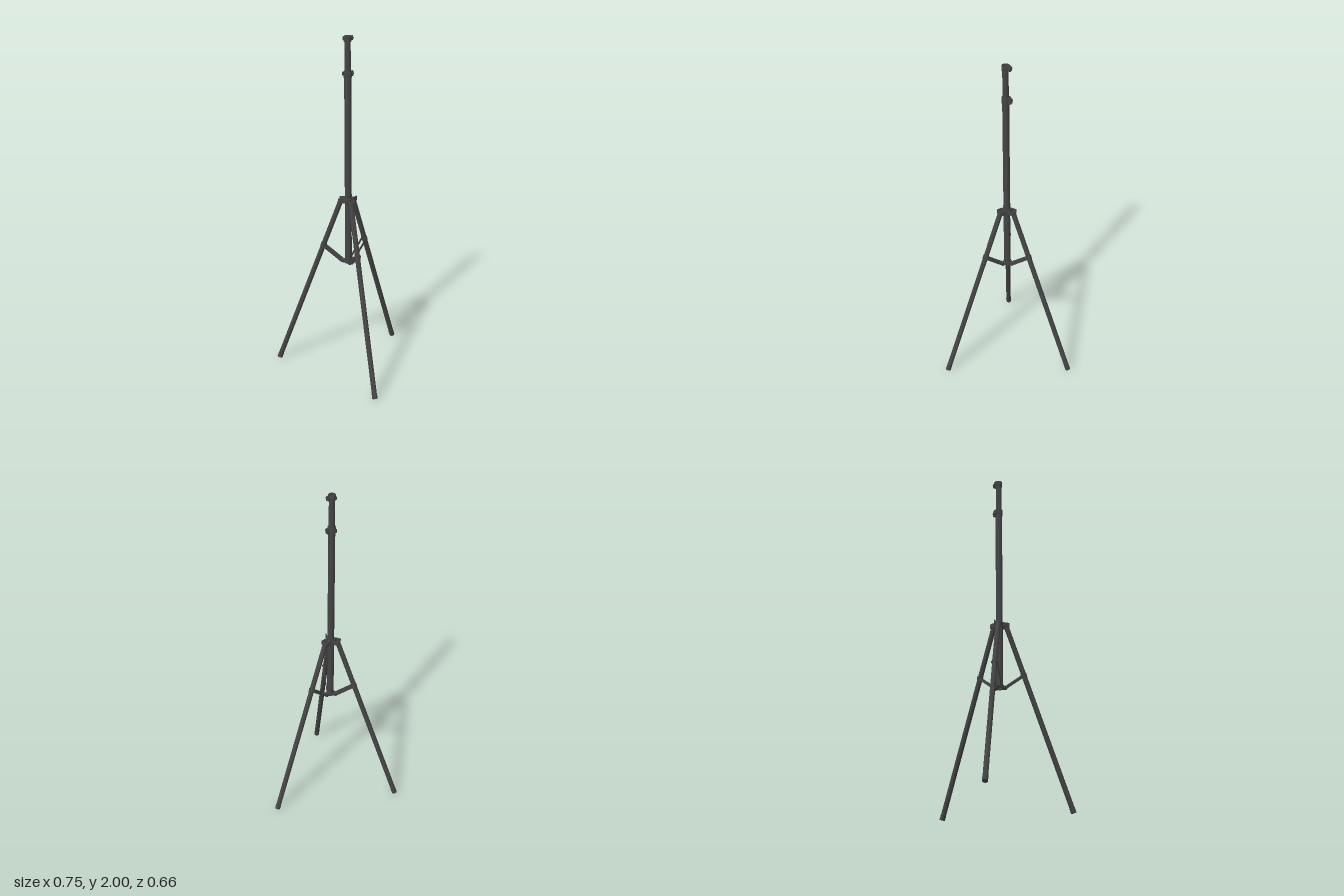
import * as THREE from 'three';

const mat = new THREE.MeshStandardMaterial({ color: 0x444444, side: THREE.DoubleSide });

function add(parent, name, geo, x = 0, y = 0, z = 0) {
  const m = new THREE.Mesh(geo, mat);
  m.name = name;
  m.position.set(x, y, z);
  parent.add(m);
  return m;
}

// Hollow tube with square rims, built ring by ring so that its edges stay sharp
function tube(outer, inner, y0, y1) {
  const shape = new THREE.Shape().absarc(0, 0, outer, 0, Math.PI * 2);
  shape.holes.push(new THREE.Path().absarc(0, 0, inner, 0, Math.PI * 2, true));
  return new THREE.ExtrudeGeometry(shape, { depth: y1 - y0, bevelEnabled: false, curveSegments: 32 })
    .rotateX(-Math.PI / 2).translate(0, y0, 0);
}

// Mesh whose own y axis runs from a to b
function between(parent, name, a, b, makeGeo) {
  const dir = b.clone().sub(a);
  const m = add(parent, name, makeGeo(dir.length()));
  m.position.copy(a).add(b).multiplyScalar(0.5);
  m.quaternion.setFromUnitVectors(new THREE.Vector3(0, 1, 0), dir.normalize());
  return m;
}

// Flat link with round ends, thin along x
function link(length, width, thick) {
  const r = width / 2, h = length / 2;
  const s = new THREE.Shape();
  s.absarc(0, h, r, 0, Math.PI);
  s.absarc(0, -h, r, Math.PI, Math.PI * 2);
  return new THREE.ExtrudeGeometry(s, { depth: thick, bevelEnabled: false, curveSegments: 8 })
    .translate(0, 0, -thick / 2).rotateY(Math.PI / 2);
}

function pin(parent, name, y, z, r, len) {
  add(parent, name, new THREE.CylinderGeometry(r, r, len, 16), 0, y, z).rotation.z = Math.PI / 2;
}

// Collar with clamp ears, a bolt and a curved lever
function clamp(name, y, h, outer, inner) {
  const g = new THREE.Group();
  g.name = name;
  g.position.y = y;
  add(g, 'collar', tube(outer, inner, -h / 2, h / 2));
  for (const s of [-1, 1]) {
    add(g, 'clampEar', new THREE.BoxGeometry(0.006, h * 0.85, 0.018), s * 0.006, 0, -outer - 0.006);
  }
  pin(g, 'clampBolt', 0, -outer - 0.008, 0.005, 0.03);
  const lever = new THREE.Shape();
  lever.absarc(0, 0, outer + 0.008, Math.PI * 0.58, Math.PI * 1.12);
  lever.absarc(0, 0, outer + 0.003, Math.PI * 1.12, Math.PI * 0.58, true);
  add(g, 'clampLever', new THREE.ExtrudeGeometry(lever, { depth: h * 0.6, bevelEnabled: false, curveSegments: 16 })
    .rotateX(-Math.PI / 2), 0, -h * 0.3, 0);
  return g;
}

// One leg with its hinge and brace, pointing to -z
function makeLeg() {
  const g = new THREE.Group();
  g.name = 'leg';
  const top = new THREE.Vector3(0, 1.055, -0.041);
  const foot = new THREE.Vector3(0, 0.005, -0.418);
  const along = (t) => top.clone().lerp(foot, t);

  between(g, 'legTube', top, along(0.985), (l) => new THREE.CylinderGeometry(0.0142, 0.0142, l, 24));
  between(g, 'footCap', along(0.975), foot, (l) => new THREE.CylinderGeometry(0.0152, 0.0152, l, 24));

  // Hinge cheeks on the crown
  for (const s of [-1, 1]) {
    add(g, 'crownCheek', new THREE.BoxGeometry(0.005, 0.026, 0.036), s * 0.0175, 1.057, -0.035);
  }
  add(g, 'crownBridge', new THREE.BoxGeometry(0.034, 0.022, 0.012), 0, 1.057, -0.02);
  pin(g, 'crownPin', 1.057, -0.042, 0.005, 0.043);

  // Band around the leg where the brace is fixed
  const t = 0.272, joint = along(t);
  between(g, 'braceBand', along(t - 0.01), along(t + 0.01),
    (l) => new THREE.CylinderGeometry(0.0165, 0.0165, l, 24));
  pin(g, 'bracePin', joint.y, joint.z, 0.006, 0.04);

  // Paired brace plates down to the lower hub
  const low = new THREE.Vector3(0, 0.68, -0.034);
  for (const s of [-1, 1]) {
    const shift = new THREE.Vector3(s * 0.0145, 0, 0);
    between(g, 'bracePlate', low.clone().add(shift), joint.clone().add(shift), (l) => link(l, 0.014, 0.003));
  }
  add(g, 'hubLug', new THREE.BoxGeometry(0.024, 0.015, 0.026), 0, 0.679, -0.028);
  pin(g, 'hubPin', 0.68, low.z, 0.0045, 0.036);
  return g;
}

export function createModel() {
  const model = new THREE.Group();
  model.name = 'tripodStand';
  const stand = new THREE.Group();
  stand.name = 'stand';
  stand.position.z = 0.105;
  model.add(stand);

  // Telescoping pole, open right through
  add(stand, 'lowerPole', tube(0.019, 0.0165, 0.67, 1.79));
  add(stand, 'upperPole', tube(0.0168, 0.015, 1.7, 2));
  stand.add(clamp('middleClamp', 1.79, 0.034, 0.0225, 0.0166));
  stand.add(clamp('topClamp', 1.986, 0.028, 0.0205, 0.0152));

  // Crown and lower hub rings
  add(stand, 'crownRing', tube(0.0235, 0.0185, 1.043, 1.071));
  add(stand, 'hubRing', tube(0.0235, 0.0185, 0.67, 0.688));

  for (let i = 0; i < 3; i++) {
    const leg = makeLeg();
    leg.rotation.y = (i * Math.PI * 2) / 3;
    stand.add(leg);
  }
  return model;
}
